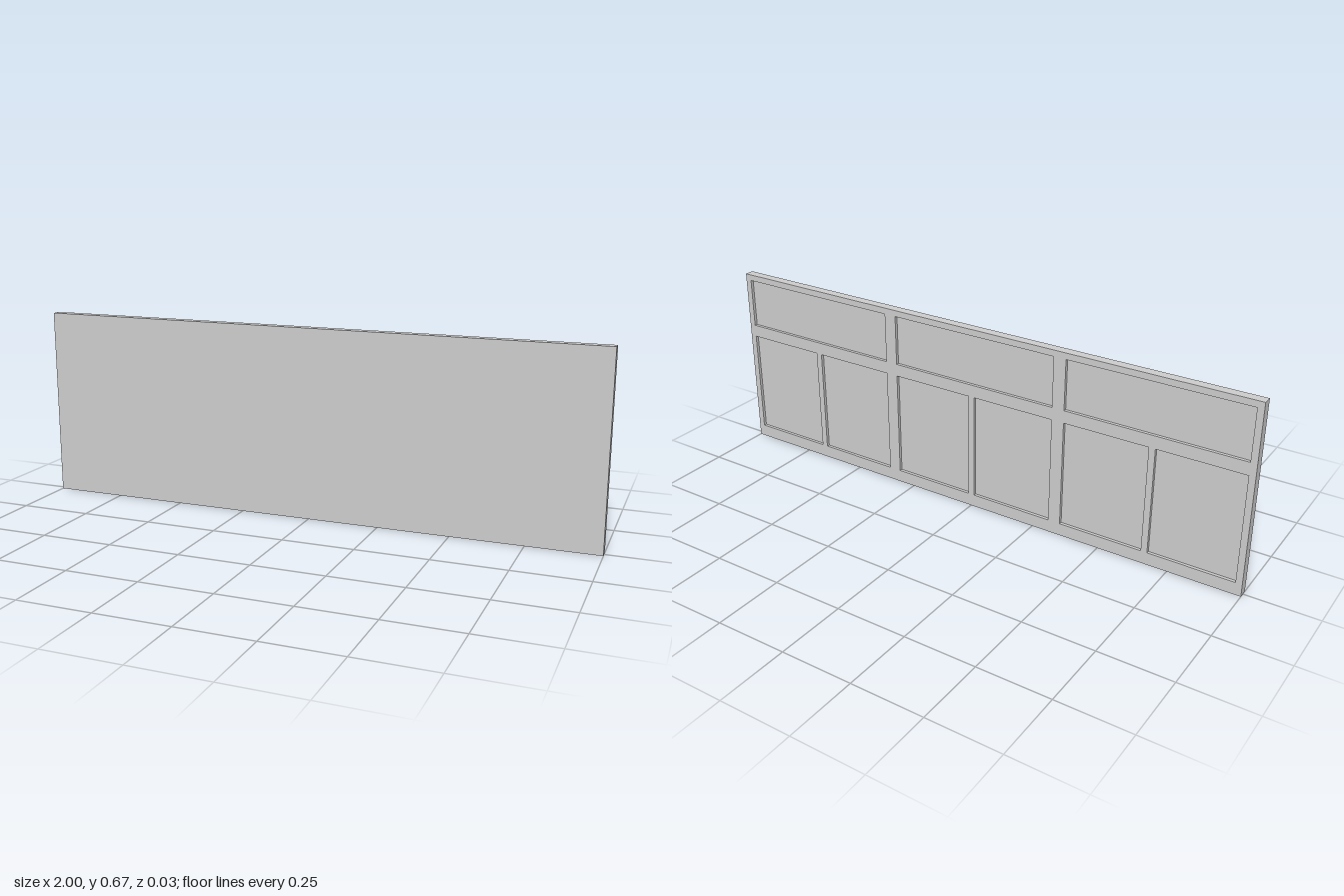
import * as THREE from 'three';

const U = 2 / 1.8; // unit scale: panel is 1.8 x 0.6 x 0.03 before scaling
const W = 1.8 * U, H = 0.6 * U, T = 0.03 * U;
const RECESS = 0.01 * U;          // depth of the pockets in the back
const EDGE = 0.02 * U, RAIL = 0.04 * U;
const BAY = 0.56 * U, TOP_H = 0.16 * U, LOW_H = 0.34 * U;
const HALF = (BAY - EDGE) / 2;    // width of each lower pocket

function rectPath(path, x, y, w, h) {
  path.moveTo(x, y);
  path.lineTo(x + w, y);
  path.lineTo(x + w, y + h);
  path.lineTo(x, y + h);
  path.closePath();
  return path;
}

export function createModel() {
  const group = new THREE.Group();
  group.name = 'recessedPanel';
  const material = new THREE.MeshStandardMaterial({ color: 0xcccccc, flatShading: true });

  // Plain front board, its back forms the floor of the pockets
  const board = new THREE.Mesh(new THREE.BoxGeometry(W, H, T - RECESS), material);
  board.name = 'frontBoard';
  board.position.set(0, H / 2, RECESS / 2);
  group.add(board);

  // Back framework: three bays, each with one wide pocket above two tall ones
  const outline = rectPath(new THREE.Shape(), -W / 2, 0, W, H);
  for (let i = 0; i < 3; i++) {
    const x = -W / 2 + EDGE + i * (BAY + RAIL);
    outline.holes.push(
      rectPath(new THREE.Path(), x, H - EDGE - TOP_H, BAY, TOP_H),
      rectPath(new THREE.Path(), x, RAIL, HALF, LOW_H),
      rectPath(new THREE.Path(), x + HALF + EDGE, RAIL, HALF, LOW_H)
    );
  }
  const frame = new THREE.Mesh(
    new THREE.ExtrudeGeometry(outline, { depth: RECESS, bevelEnabled: false }), material);
  frame.name = 'backFrame';
  frame.position.z = -T / 2;
  group.add(frame);

  return group;
}
